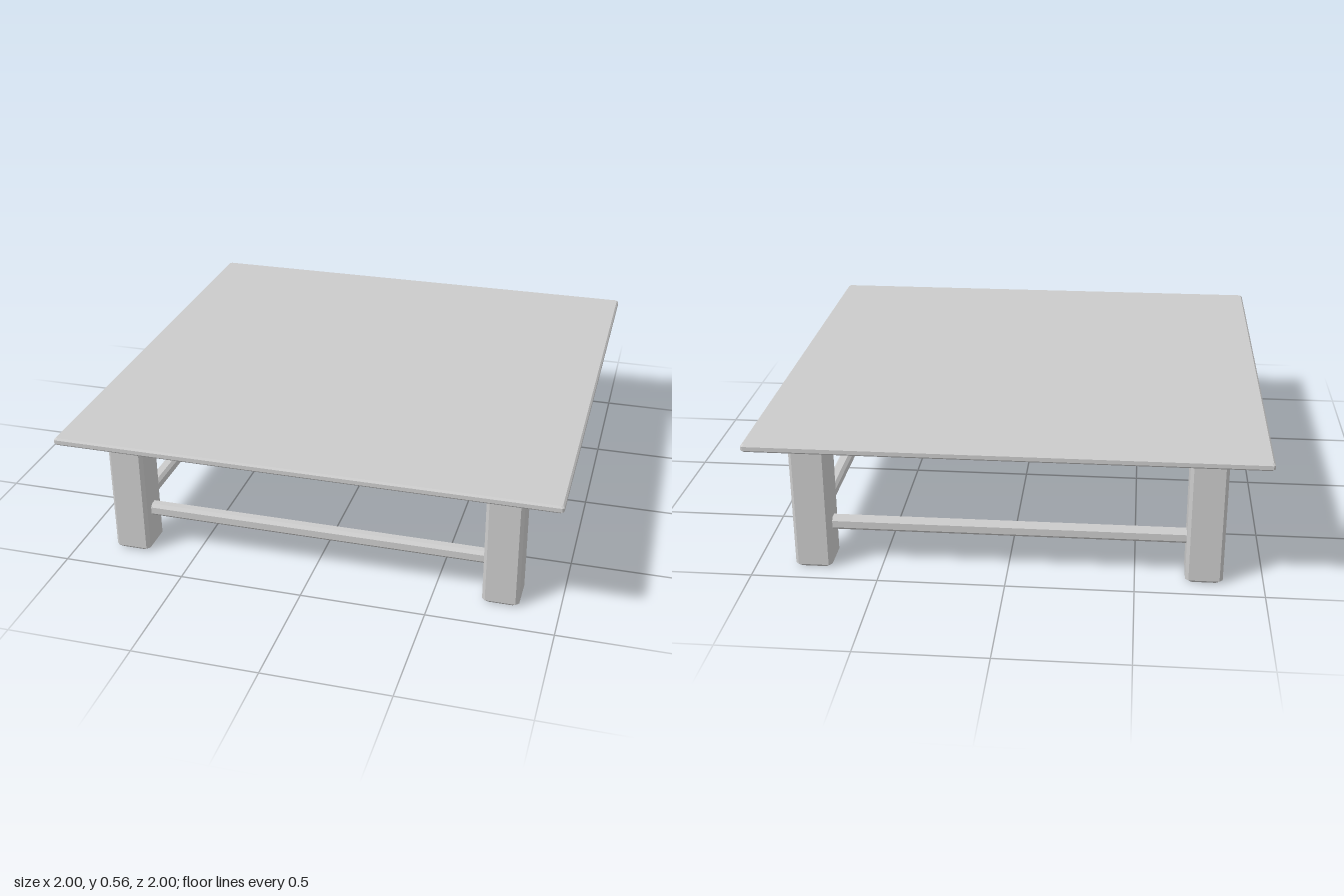
import * as THREE from 'three';

const material = new THREE.MeshStandardMaterial({ color: 0xcccccc, flatShading: true });
const openMaterial = new THREE.MeshStandardMaterial({ color: 0xcccccc, flatShading: true, side: THREE.DoubleSide });

// Rectangle with cut corners, at height y
function ring(y, w, d, c) {
  return [
    [w, c - d], [w, d - c], [w - c, d], [c - w, d],
    [-w, d - c], [-w, c - d], [c - w, -d], [w - c, -d],
  ].map(([x, z]) => new THREE.Vector3(x, y, z));
}

// Joins rings from bottom to top, with optional end caps
function loft(rings, capBottom = true, capTop = true) {
  const points = [];
  const n = rings[0].length;
  for (let r = 0; r < rings.length - 1; r++) {
    for (let i = 0; i < n; i++) {
      const j = (i + 1) % n;
      const a = rings[r][i], b = rings[r][j], c = rings[r + 1][j], d = rings[r + 1][i];
      points.push(a, d, c, a, c, b);
    }
  }
  const top = rings[rings.length - 1];
  for (let i = 1; i < n - 1; i++) {
    if (capBottom) points.push(rings[0][0], rings[0][i], rings[0][i + 1]);
    if (capTop) points.push(top[0], top[i + 1], top[i]);
  }
  const geometry = new THREE.BufferGeometry().setFromPoints(points);
  geometry.computeVertexNormals();
  return geometry;
}

// Flat board with all edges chamfered
function board(half, y0, y1, c) {
  return loft([
    ring(y0, half - c, half - c, c),
    ring(y0 + c, half, half, c),
    ring(y1 - c, half, half, c),
    ring(y1, half - c, half - c, c),
  ]);
}

export function createModel() {
  const group = new THREE.Group();
  const add = (name, geometry, mat = material) => {
    const mesh = new THREE.Mesh(geometry, mat);
    mesh.name = name;
    group.add(mesh);
    return mesh;
  };

  // Table top and the smaller board beneath it
  add('tableTop', board(1, 0.53, 0.56, 0.007));
  add('underBoard', board(0.936, 0.507, 0.53, 0.005));

  // Hollow legs, open at the foot
  const legX = 0.769, frontZ = 0.788, backZ = -0.843;
  const legW = 0.073, legD = 0.076, cut = 0.013;
  const legGeometry = loft([
    ring(0, legW - cut, legD - cut, cut),
    ring(cut, legW, legD, cut),
    ring(0.508, legW, legD, cut),
  ], false, false);
  for (const side of [-1, 1]) {
    for (const z of [frontZ, backZ]) {
      const name = (z > 0 ? 'front' : 'back') + (side > 0 ? 'Left' : 'Right') + 'Leg';
      add(name, legGeometry, openMaterial).position.set(side * legX, 0, z);
    }
  }

  // Stretcher rails between the legs
  const railY = 0.17, railHalf = 0.026;
  const rail = (length) => loft([-length / 2, length / 2].map((y) => ring(y, railHalf, railHalf, 0.012)));
  const crossRail = rail(2 * (legX - legW)).rotateZ(Math.PI / 2);
  const sideRail = rail(frontZ - backZ - 2 * legD).rotateX(Math.PI / 2);
  for (const z of [frontZ, backZ]) {
    add(z > 0 ? 'frontRail' : 'backRail', crossRail).position.set(0, railY, z);
  }
  for (const side of [-1, 1]) {
    add(side > 0 ? 'leftRail' : 'rightRail', sideRail).position.set(side * legX, railY, (frontZ + backZ) / 2);
  }

  return group;
}
